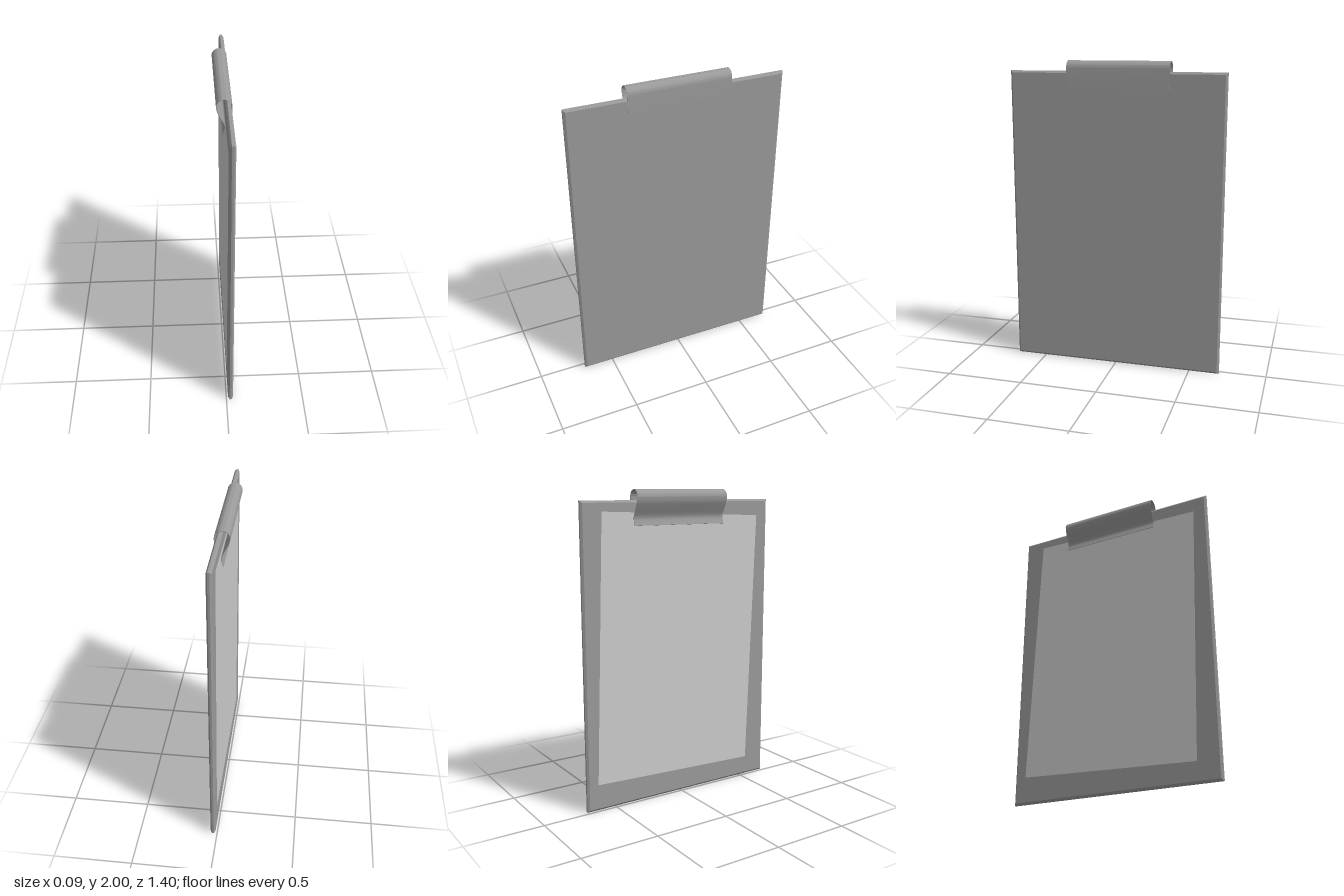
import * as THREE from 'three';
import { toCreasedNormals } from 'three/addons/utils/BufferGeometryUtils.js';

const darkGrey = new THREE.MeshStandardMaterial({ color: 0x9a9a9a });
const paperGrey = new THREE.MeshStandardMaterial({ color: 0xcccccc, side: THREE.DoubleSide });

function part(name, geometry, material) {
  const mesh = new THREE.Mesh(geometry, material);
  mesh.name = name;
  return mesh;
}

// Flat board with chamfered edges, standing in the y-z plane
function makeBoard() {
  const bevel = 0.013, halfWidth = 0.698 - bevel, bottom = bevel, top = 1.935 - bevel;
  const x0 = 0.011, x1 = 0.044, edge = 0.01;
  const shape = new THREE.Shape([
    new THREE.Vector2(-halfWidth, bottom), new THREE.Vector2(halfWidth, bottom),
    new THREE.Vector2(halfWidth, top), new THREE.Vector2(-halfWidth, top),
  ]);
  const geometry = new THREE.ExtrudeGeometry(shape, {
    depth: x1 - x0 - 2 * edge, bevelThickness: edge, bevelSize: bevel, bevelSegments: 1,
  });
  geometry.rotateY(Math.PI / 2).translate(x0 + edge, 0, 0);
  return part('board', toCreasedNormals(geometry, 0.3), darkGrey);
}

// Sheet of paper lying slightly askew on the -x face
function makePaper() {
  const geometry = new THREE.PlaneGeometry(1.17, 1.7);
  geometry.rotateZ(-0.036).rotateY(-Math.PI / 2).translate(0.009, 1.0, -0.007);
  return part('paper', geometry, paperGrey);
}

// Spring clip: a thin bent strip, straight behind, looped on top, pinching the paper
function makeClip() {
  const radius = 0.044, centreY = 1.9545, half = 0.0015;
  const path = [new THREE.Vector2(radius, 1.81)];
  const steps = 20;
  for (let i = 0; i <= steps; i++) {
    const a = (Math.PI * i) / steps;
    path.push(new THREE.Vector2(radius * Math.cos(a), centreY + radius * Math.sin(a)));
  }
  const jaw = new THREE.SplineCurve([
    new THREE.Vector2(-radius, centreY), new THREE.Vector2(-0.038, 1.924),
    new THREE.Vector2(-0.019, 1.884), new THREE.Vector2(0.001, 1.843),
    new THREE.Vector2(0.004, 1.818), new THREE.Vector2(-0.007, 1.782),
  ]);
  path.push(...jaw.getPoints(20).slice(1));

  // Offset the centre line to both sides to give the strip its thickness
  const outer = [], inner = [];
  path.forEach((p, i) => {
    const a = path[Math.max(i - 1, 0)], b = path[Math.min(i + 1, path.length - 1)];
    const n = new THREE.Vector2(b.y - a.y, a.x - b.x).normalize().multiplyScalar(half);
    outer.push(p.clone().add(n));
    inner.push(p.clone().sub(n));
  });
  const shape = new THREE.Shape([...outer, ...inner.reverse()]);
  const geometry = new THREE.ExtrudeGeometry(shape, { depth: 0.665, bevelEnabled: false });
  geometry.translate(0, 0, -0.345);
  return part('clip', toCreasedNormals(geometry, 0.7), darkGrey);
}

export function createModel() {
  const model = new THREE.Group();
  model.name = 'clipboard';
  model.add(makeBoard(), makePaper(), makeClip());
  return model;
}
